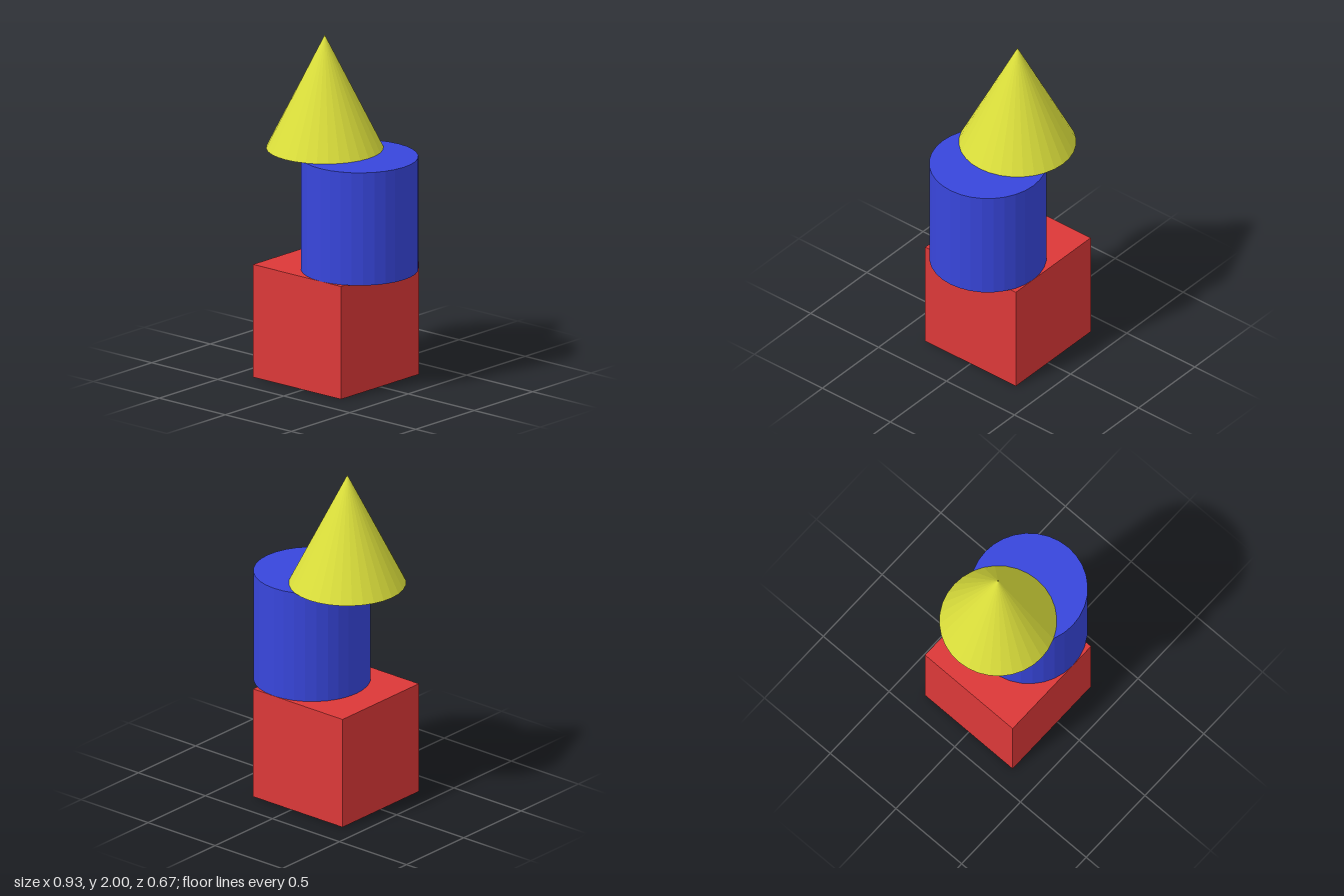
import * as THREE from 'three';

const UNIT = 2 / 3; // height and width of every block
const R = UNIT / 2;
const SIDES = 32;

function paint(name, color) {
  const m = new THREE.MeshStandardMaterial({ color, flatShading: true, side: THREE.DoubleSide });
  m.name = name;
  return m;
}

export function createModel() {
  const group = new THREE.Group();
  group.name = 'stackedBlocks';
  const red = paint('red', 0xdc3838);
  const blue = paint('blue', 0x3846dc);
  const yellow = paint('yellow', 0xdce03c);

  const add = (name, geometry, material, x, y) => {
    const mesh = new THREE.Mesh(geometry, material);
    mesh.name = name;
    mesh.position.set(x, y, 0);
    group.add(mesh);
  };

  // Hollow cube, open underneath: drop the bottom face (the fourth group)
  const cube = new THREE.BoxGeometry(UNIT, UNIT, UNIT);
  cube.setIndex([...cube.index.array].filter((_, i) => i < 18 || i >= 24));
  cube.clearGroups();
  add('cube', cube, red, -0.047, R);

  // Hollow cylinder: wall and top disc, open underneath
  add('cylinderWall', new THREE.CylinderGeometry(R, R, UNIT, SIDES, 1, true), blue, 0.132, UNIT + R);
  const disc = new THREE.CircleGeometry(R, SIDES).rotateX(-Math.PI / 2);
  add('cylinderTop', disc, blue, 0.132, 2 * UNIT);

  // Hollow cone, open underneath
  add('cone', new THREE.ConeGeometry(R, UNIT, SIDES, 1, true), yellow, -0.132, 2 * UNIT + R);

  return group;
}
